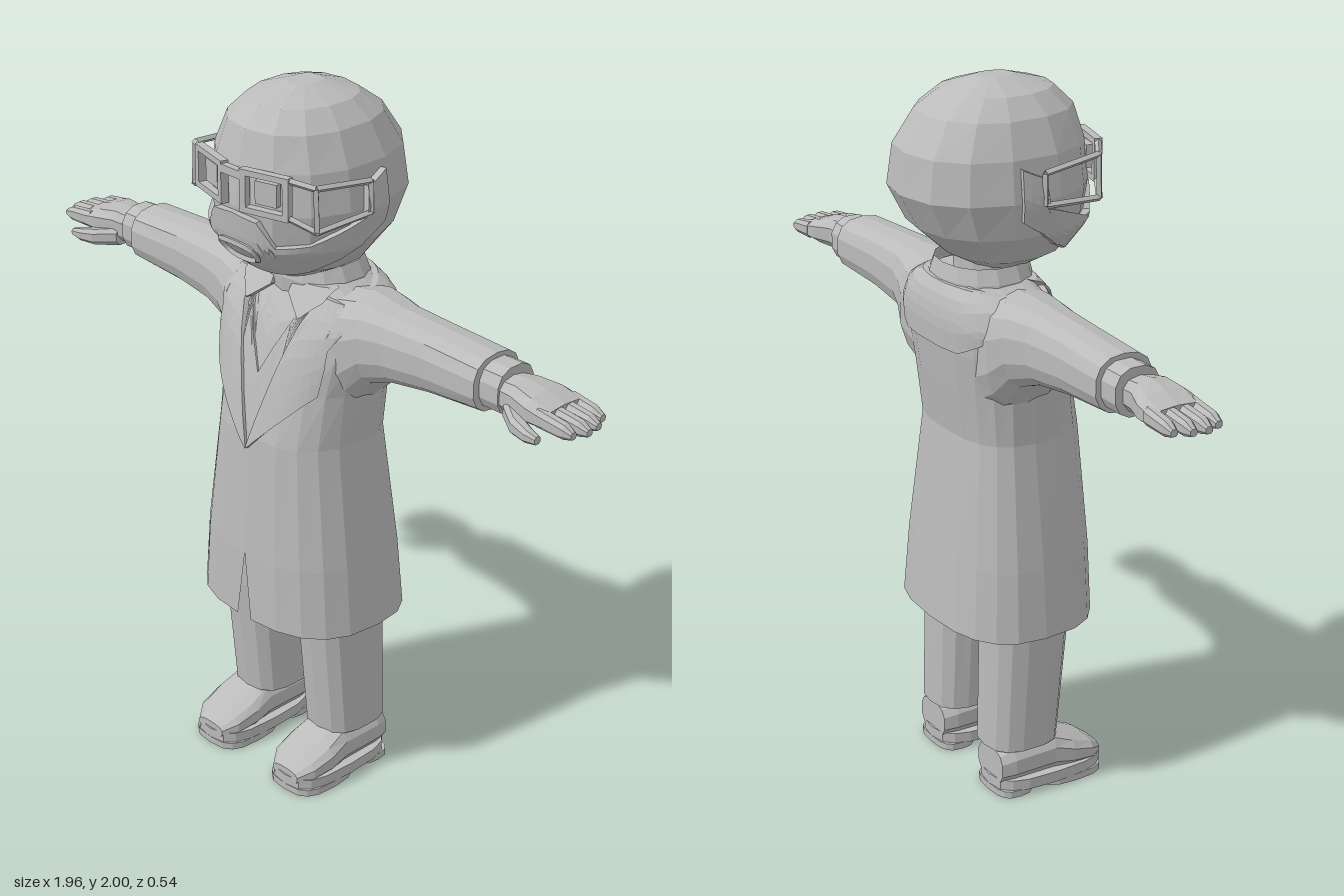
import * as THREE from 'three';

const grey = new THREE.MeshStandardMaterial({ color: 0xbbbbbb, flatShading: true, side: THREE.DoubleSide });
grey.name = 'plainGrey';

const V = (x, y, z) => new THREE.Vector3(x, y, z);
const pw = (v, e) => Math.sign(v) * Math.abs(v) ** e;

function mesh(name, geometry) {
  const m = new THREE.Mesh(geometry, grey);
  m.name = name;
  return m;
}

// Skin a list of equal-length rings, with optional end caps; faces end up pointing outward
function loft(rings, { start = true, end = true, open = false } = {}) {
  const n = rings[0].length, tris = [];
  for (let r = 0; r < rings.length - 1; r++) {
    for (let i = 0; i < (open ? n - 1 : n); i++) {
      const j = (i + 1) % n, a = rings[r], b = rings[r + 1];
      tris.push([a[i], a[j], b[j]], [a[i], b[j], b[i]]);
    }
  }
  const cap = (ring, flip) => {
    const c = ring.reduce((s, p) => s.add(p), V(0, 0, 0)).divideScalar(n);
    ring.forEach((p, i) => {
      const q = ring[(i + 1) % n];
      tris.push(flip ? [c, q, p] : [c, p, q]);
    });
  };
  if (start) cap(rings[0], true);
  if (end) cap(rings[rings.length - 1], false);
  const mid = V(0, 0, 0);
  rings.flat().forEach((p) => mid.add(p));
  mid.divideScalar(n * rings.length);
  let volume = 0;
  for (const [a, b, c] of tris) {
    volume += a.clone().sub(mid).dot(b.clone().sub(mid).cross(c.clone().sub(mid)));
  }
  const pts = tris.flatMap(([a, b, c]) => (volume < 0 ? [a, c, b] : [a, b, c]));
  const g = new THREE.BufferGeometry().setFromPoints(pts);
  g.computeVertexNormals();
  return g;
}

// Rounded ring at height y: [y, half width, back z, front z]
function yPoint([y, hx, zb, zf], t, e, cz, off = 0) {
  const c = pw(Math.cos(t), e);
  return V(pw(Math.sin(t), e) * (hx + off), y, cz + c * ((c > 0 ? zf - cz : cz - zb) + off));
}
const yLoft = (rows, n, e, x = 0, opt) => loft(rows.map((r) =>
  Array.from({ length: n }, (_, i) =>
    yPoint(r, (i / n) * Math.PI * 2, e, (r[2] + r[3]) / 2).add(V(x, 0, 0)))), opt);

// Rounded sections along x: [x, bottom, top, back z, front z]
const xLoft = (rows, n, e) => loft(rows.map(([x, yb, yt, zb, zf]) =>
  Array.from({ length: n }, (_, i) => {
    const t = ((i + 0.5) / n) * Math.PI * 2;
    return V(x, (yb + yt) / 2 + pw(Math.sin(t), e) * (yt - yb) / 2,
      (zb + zf) / 2 + pw(Math.cos(t), e) * (zf - zb) / 2);
  })));

function rowAt(table, y) {
  let i = 0;
  while (i < table.length - 2 && table[i + 1][0] < y) i++;
  const a = table[i], b = table[i + 1];
  const k = THREE.MathUtils.clamp((y - a[0]) / (b[0] - a[0]), 0, 1);
  return [y, ...[1, 2, 3].map((j) => a[j] + (b[j] - a[j]) * k)];
}

// Thin solid laid over a surface; columns are [u, lower y, upper y]
function patch(surface, columns, off, inner = -0.01, steps = 3, rows = 6) {
  const cols = [columns[0]];
  for (let i = 1; i < columns.length; i++) {
    for (let s = 1; s <= steps; s++) {
      cols.push(columns[i].map((v, k) => columns[i - 1][k] + (v - columns[i - 1][k]) * s / steps));
    }
  }
  return loft(cols.map(([u, lo, hi]) => {
    const side = (o) => Array.from({ length: rows + 1 }, (_, i) => surface(u, lo + (hi - lo) * i / rows, o));
    return [...side(inner), ...side(off).reverse()];
  }));
}
const bothSides = (cols) => [...cols.slice(1).reverse().map(([u, a, b]) => [-u, a, b]), ...cols];

const HEAD = [[1.49, 0.07, -0.04, 0.1], [1.54, 0.16, -0.13, 0.18], [1.62, 0.215, -0.22, 0.24],
  [1.72, 0.235, -0.275, 0.25], [1.83, 0.22, -0.26, 0.24], [1.92, 0.18, -0.2, 0.215],
  [1.97, 0.13, -0.13, 0.165], [2.0, 0.04, -0.04, 0.06]];
const headAt = (t, y, off = 0) => yPoint(rowAt(HEAD, y), t, 0.88, 0, off);

const COAT = [[0.5, 0.285, -0.2, 0.24], [0.7, 0.268, -0.185, 0.235], [1.05, 0.222, -0.15, 0.212],
  [1.2, 0.228, -0.17, 0.18], [1.3, 0.245, -0.182, 0.155], [1.38, 0.25, -0.185, 0.125],
  [1.44, 0.22, -0.175, 0.085], [1.48, 0.14, -0.15, 0.06]];
const coatAt = (t, y, off = 0) => yPoint(rowAt(COAT, y), t, 0.75, 0, off);
const coatFront = (x, y, off) => {
  const s = Math.min(1, Math.abs(x) / rowAt(COAT, y)[1]);
  return coatAt(Math.sign(x) * Math.asin(s ** (1 / 0.75)), y, off);
};

function buildHead() {
  const g = new THREE.Group();
  g.name = 'head';
  g.add(mesh('skull', loft(HEAD.map((r) =>
    Array.from({ length: 14 }, (_, i) => headAt((i / 14) * Math.PI * 2, r[0]))))));
  g.add(mesh('beard', patch(headAt, bothSides([[0, 1.525, 1.71], [0.28, 1.53, 1.7], [0.5, 1.535, 1.635],
    [0.9, 1.55, 1.645], [1.3, 1.585, 1.68], [1.5, 1.62, 1.7], [1.53, 1.63, 1.78], [1.72, 1.67, 1.81]]), 0.015)));
  // Lips
  const lips = Array.from({ length: 14 }, (_, i) => {
    const t = (i / 14) * Math.PI * 2;
    return headAt(0.24 * pw(Math.cos(t), 0.7), 1.6 + 0.027 * pw(Math.sin(t), 0.7), 0.017);
  });
  g.add(mesh('mouth', new THREE.TubeGeometry(new THREE.CatmullRomCurve3(lips, true), 28, 0.009, 4, true)));
  return g;
}

function bar(name, a, b, r = 0.009) {
  return mesh(name, new THREE.TubeGeometry(new THREE.LineCurve3(a, b), 1, r, 4));
}

// One half of the spectacles
function buildLens() {
  const g = new THREE.Group();
  const rim = new THREE.Group();
  const rect = (C, w, h) => new C([[-w, -h], [w, -h], [w, h], [-w, h]].map(([x, y]) => new THREE.Vector2(x, y)));
  const s = rect(THREE.Shape, 0.072, 0.058);
  s.holes.push(rect(THREE.Path, 0.054, 0.042));
  rim.add(mesh('lensRim', new THREE.ExtrudeGeometry(s, { depth: 0.022, bevelEnabled: false })));
  const pane = mesh('lensPane', new THREE.BoxGeometry(0.064, 0.062, 0.02));
  pane.position.z = 0.002;
  rim.add(pane);
  rim.position.set(0.098, 1.78, 0.228);
  rim.rotation.y = 0.26;
  g.add(rim);
  // Side guard reaching back to the ear
  const top = [V(0.165, 1.83, 0.222), V(0.225, 1.815, 0.185), V(0.243, 1.795, 0.01)];
  const low = [V(0.165, 1.73, 0.222), V(0.23, 1.7, 0.185), V(0.245, 1.71, 0.01)];
  for (const path of [top, low]) {
    g.add(bar('templeFront', path[0], path[1]), bar('templeArm', path[1], path[2]));
  }
  g.add(bar('templePost', top[1], low[1]), bar('templeEnd', top[2], low[2]));
  return g;
}

function buildArm() {
  const g = new THREE.Group();
  g.add(mesh('sleeve', xLoft([[0.14, 1.12, 1.465, -0.15, 0.12], [0.22, 1.17, 1.475, -0.155, 0.1],
    [0.27, 1.235, 1.472, -0.135, 0.085], [0.34, 1.262, 1.465, -0.112, 0.07], [0.47, 1.28, 1.46, -0.105, 0.06],
    [0.655, 1.295, 1.45, -0.11, 0.06]], 14, 0.8)));
  g.add(mesh('shirtCuff', xLoft([[0.64, 1.305, 1.437, -0.095, 0.04], [0.717, 1.305, 1.437, -0.095, 0.04]], 12, 0.8)));
  g.add(mesh('palm', xLoft([[0.7, 1.32, 1.41, -0.07, 0.03], [0.76, 1.322, 1.42, -0.08, 0.045],
    [0.82, 1.328, 1.41, -0.105, 0.06], [0.88, 1.335, 1.39, -0.105, 0.056]], 10, 0.75)));
  [[-0.086, 0.95], [-0.045, 0.972], [-0.004, 0.978], [0.036, 0.962]].forEach(([z, tip]) =>
    g.add(mesh('finger', xLoft([[0.85, 1.34, 1.392, z - 0.019, z + 0.019],
      [tip - 0.025, 1.338, 1.38, z - 0.018, z + 0.018], [tip, 1.345, 1.365, z - 0.011, z + 0.011]], 8, 0.8))));
  g.add(mesh('thumb', xLoft([[0.74, 1.315, 1.37, -0.01, 0.045], [0.8, 1.31, 1.36, 0.035, 0.085],
    [0.85, 1.312, 1.35, 0.056, 0.095], [0.885, 1.318, 1.34, 0.066, 0.09]], 8, 0.8)));
  return g;
}

function buildLeg() {
  const g = new THREE.Group();
  g.add(mesh('trouserLeg', yLoft([[0.14, 0.093, -0.115, 0.1], [0.5, 0.097, -0.108, 0.135],
    [0.8, 0.09, -0.1, 0.13]], 14, 0.75, 0.147)));
  // Shoe upper: sections along z as [z, half width, top]
  const upper = [[-0.1, 0.065, 0.135], [-0.06, 0.078, 0.15], [0.07, 0.08, 0.155], [0.13, 0.088, 0.128],
    [0.195, 0.08, 0.1], [0.235, 0.05, 0.07]];
  g.add(mesh('shoeUpper', loft(upper.map(([z, hx, top]) => Array.from({ length: 12 }, (_, i) => {
    const t = ((i + 0.5) / 12) * Math.PI * 2;
    return V(0.157 + hx * pw(Math.cos(t), 0.75), (0.03 + top) / 2 + (top - 0.03) / 2 * pw(Math.sin(t), 0.75), z);
  })))));
  const slab = (name, y0, y1, z0, z1, hx) =>
    g.add(mesh(name, yLoft([[y0, hx, z0, z1], [y1, hx, z0, z1]], 16, 0.65, 0.157)));
  slab('shoeSole', 0.018, 0.05, -0.107, 0.24, 0.094);
  slab('shoeHeel', 0, 0.02, -0.107, 0.005, 0.084);
  slab('shoeTread', 0, 0.02, 0.025, 0.24, 0.092);
  return g;
}

function buildCoat() {
  const g = new THREE.Group();
  g.name = 'coat';
  // Body with a slit at the front hem
  const n = 20;
  g.add(mesh('coatBody', loft(COAT.map((r) => Array.from({ length: n + 1 }, (_, i) => {
    const p = coatAt((i / n) * Math.PI * 2, r[0]);
    const gap = 0.026 * Math.max(0, (0.7 - r[0]) / 0.2);
    if (i === 0) p.x = gap;
    if (i === n) p.x = -gap;
    return p;
  })), { start: false, open: true })));
  const a = Math.PI;
  g.add(mesh('backYoke', patch(coatAt, [[a - 1.35, 1.4, 1.46], [a - 0.9, 1.36, 1.47], [a - 0.4, 1.31, 1.475],
    [a + 0.4, 1.31, 1.475], [a + 0.9, 1.36, 1.47], [a + 1.35, 1.4, 1.46]], 0.014)));
  g.add(mesh('shirtFront', patch(coatFront, bothSides([[0, 1.03, 1.475], [0.115, 1.45, 1.475]]), 0.004)));
  g.add(mesh('waistcoat', patch(coatFront, bothSides([[0, 1.03, 1.23], [0.11, 1.43, 1.47]]), 0.008)));
  for (const s of [1, -1]) {
    const flip = (cols) => cols.map(([u, lo, hi]) => [u * s, lo, hi]);
    g.add(mesh('lapel', patch(coatFront, flip([[0.001, 1.02, 1.03], [0.06, 1.085, 1.25], [0.12, 1.15, 1.46],
      [0.18, 1.215, 1.45], [0.19, 1.29, 1.45], [0.175, 1.31, 1.455], [0.215, 1.39, 1.44]]), 0.015)));
    g.add(mesh('collarPoint', patch(coatFront, flip([[0.03, 1.45, 1.48], [0.09, 1.4, 1.48],
      [0.135, 1.45, 1.48]]), 0.022)));
  }
  g.add(mesh('shirtCollar', yLoft([[1.43, 0.155, -0.165, 0.09], [1.48, 0.148, -0.16, 0.095],
    [1.52, 0.13, -0.15, 0.085]], 14, 0.9, 0, { start: false, end: false })));
  g.add(mesh('neck', yLoft([[1.44, 0.1, -0.1, 0.08], [1.55, 0.1, -0.1, 0.08]], 12, 1)));
  return g;
}

export function createModel() {
  const model = new THREE.Group();
  model.name = 'manInCoat';
  model.add(buildHead(), buildCoat());
  // Mirrored parts
  for (const [name, build] of [['spectacles', buildLens], ['arm', buildArm], ['leg', buildLeg]]) {
    const left = build(), right = build();
    left.name = name + 'Left';
    right.name = name + 'Right';
    right.scale.x = -1;
    model.add(left, right);
  }
  const bridge = mesh('spectaclesBridge', new THREE.BoxGeometry(0.07, 0.022, 0.02));
  bridge.position.set(0, 1.82, 0.258);
  model.add(bridge);
  return model;
}
